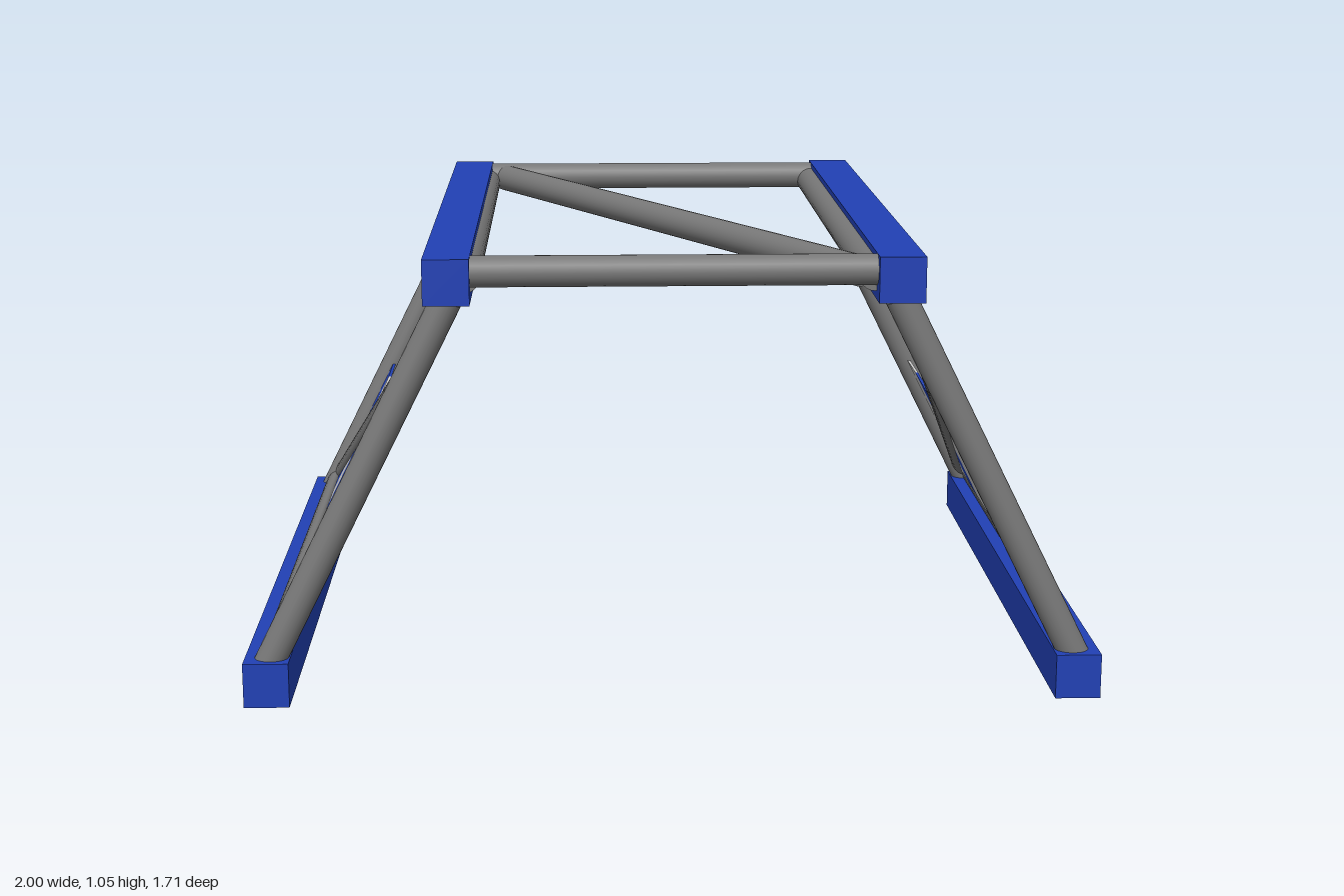
import * as THREE from 'three';

const BLUE = 0x2140b4, STEEL = 0x787878, GREY = 0xcccccc;
const V = (x, y, z) => new THREE.Vector3(x, y, z);
const mat = (color, side = THREE.FrontSide) => new THREE.MeshStandardMaterial({ color, side });

// x of the sloping side plane at height y
const slopeX = (y) => 0.99 - 0.5 * y;

export function createModel() {
  const model = new THREE.Group();
  const blue = mat(BLUE), steel = mat(STEEL);
  const panelBlue = mat(BLUE, THREE.DoubleSide), panelGrey = mat(GREY, THREE.DoubleSide);

  function add(name, geometry, material) {
    const mesh = new THREE.Mesh(geometry, material);
    mesh.name = name;
    model.add(mesh);
    return mesh;
  }

  // round bar from a to b, optionally flattened along a normal
  function bar(name, a, b, normal = V(0, 1, 0), flat = 1, r = 0.036) {
    const dir = b.clone().sub(a);
    const geo = new THREE.CylinderGeometry(r, r, dir.length(), 24);
    geo.scale(flat, 1, 1);
    dir.normalize();
    const x = normal.clone().addScaledVector(dir, -normal.dot(dir)).normalize();
    const z = x.clone().cross(dir);
    geo.applyMatrix4(new THREE.Matrix4().makeBasis(x, dir, z));
    const mid = a.clone().add(b).multiplyScalar(0.5);
    add(name, geo, steel).position.copy(mid);
  }

  // one strip of side panel: heights h0 at z0 and h1 at z1, lying in the slope
  function panelStrip(side, z0, h0, z1, h1, material) {
    const geo = new THREE.BoxGeometry(0.008, 1, 1);
    const p = geo.attributes.position;
    for (let i = 0; i < p.count; i++) {
      const front = p.getZ(i) > 0;
      const y = p.getY(i) > 0 ? (front ? h0 : h1) : 0.135;
      p.setXYZ(i, side * slopeX(y) + p.getX(i), y, front ? z0 : z1);
    }
    geo.computeVertexNormals();
    add('sidePanel', geo, material);
  }

  const profile = [[0.79, 0.54], [0.37, 0.54], [0.2, 0.435], [-0.43, 0.435], [-0.6, 0.467], [-0.79, 0.467]];
  const zEnd = 0.803;

  for (const s of [1, -1]) {
    // long square beams
    add('bottomBeam', new THREE.BoxGeometry(0.106, 0.106, 1.71), blue).position.set(s * 0.947, 0.053, 0);
    add('topBeam', new THREE.BoxGeometry(0.106, 0.106, 1.71), blue).position.set(s * 0.514, 0.997, 0);

    // sloping side frame
    const normal = V(s * 0.894, 0.447, 0);
    const at = (y, z) => V(s * slopeX(y), y, z);
    for (const z of [zEnd, -zEnd]) bar('sideLeg', at(0.08, z), at(0.95, z));
    bar('sideBottomRail', V(s * 0.947, 0.11, zEnd), V(s * 0.947, 0.11, -zEnd), normal, 0.5);
    bar('sideTopRail', V(s * 0.525, 0.942, zEnd), V(s * 0.525, 0.942, -zEnd), normal, 0.5);
    bar('sideBrace', at(0.905, zEnd), at(0.14, -zEnd), normal, 0.55);

    // roof rails beside the top beams
    const rx = s > 0 ? 0.457 : -0.475;
    bar('roofRail', V(rx, 1.0, zEnd), V(rx, 1.0, -zEnd));

    // stepped panel, colours swapped between the two sides
    for (let i = 0; i < 5; i++) {
      const isBlue = (i % 2 === 1) === (s > 0);
      panelStrip(s, ...profile[i], ...profile[i + 1], isBlue ? panelBlue : panelGrey);
    }
  }

  // roof cross bars and diagonal brace
  for (const z of [zEnd, -zEnd]) bar('roofCrossBar', V(-0.5, 1.014, z), V(0.5, 1.014, z));
  bar('roofBrace', V(-0.425, 1.01, -zEnd), V(0.425, 1.01, zEnd));

  return model;
}
